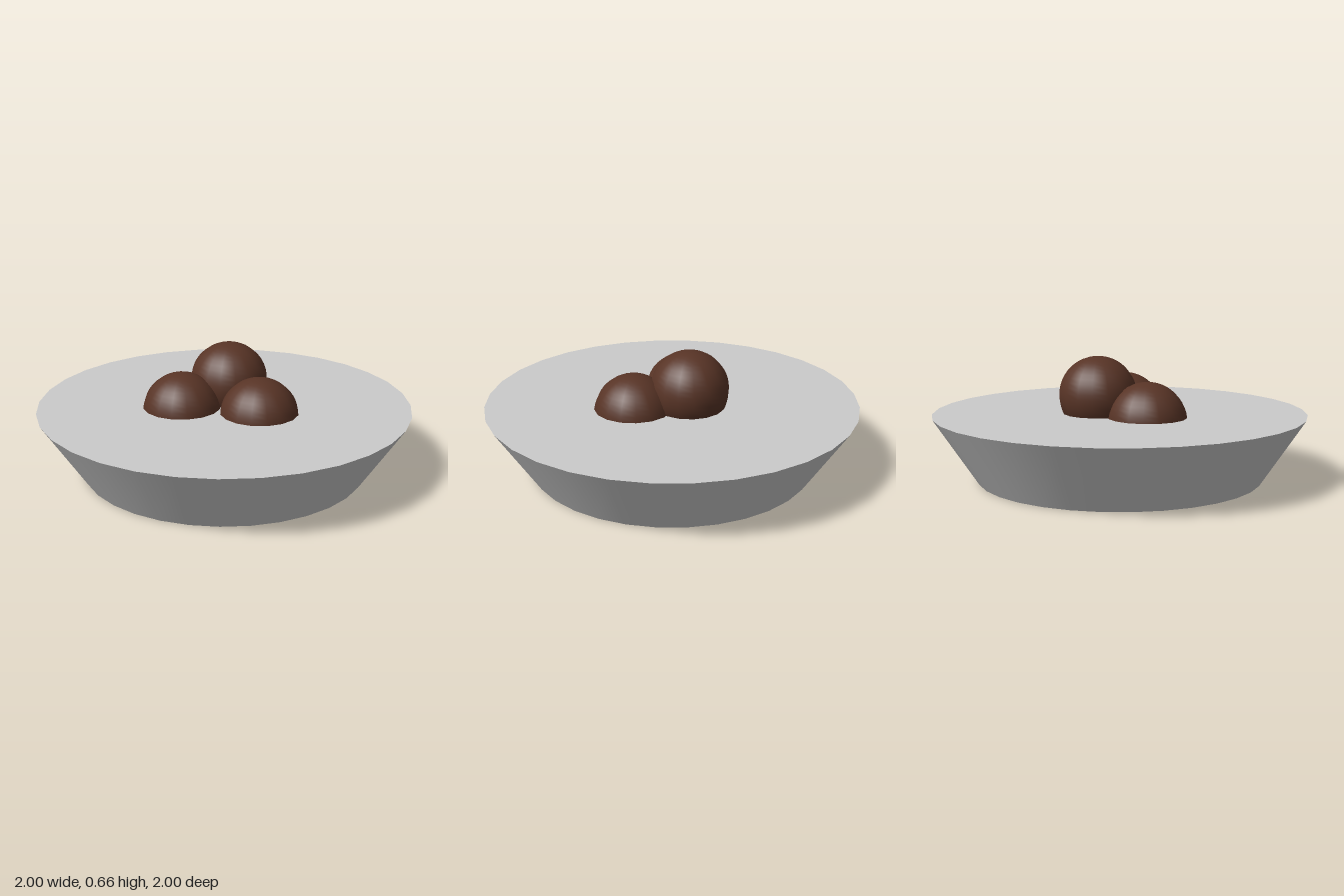
import * as THREE from 'three';

export function createModel() {
  const group = new THREE.Group();
  const grey = new THREE.MeshStandardMaterial({ color: 0xcccccc });
  const brown = new THREE.MeshStandardMaterial({ color: 0x583426 });

  // Filled bowl: a tapered, closed cylinder
  const height = 0.355;
  const bowl = new THREE.Mesh(new THREE.CylinderGeometry(1, 0.765, height, 32), grey);
  bowl.name = 'bowl';
  bowl.position.y = height / 2;
  group.add(bowl);

  // Three balls: two sunk side by side in front, one resting behind
  const ballGeometry = new THREE.SphereGeometry(0.21, 16, 24);
  const balls = [
    ['leftBall', 0.21, 0.33, 0.09],
    ['rightBall', -0.21, 0.33, 0.09],
    ['topBall', 0, 0.45, -0.12],
  ];
  for (const [name, x, y, z] of balls) {
    const ball = new THREE.Mesh(ballGeometry, brown);
    ball.name = name;
    ball.position.set(x, y, z);
    group.add(ball);
  }
  return group;
}
